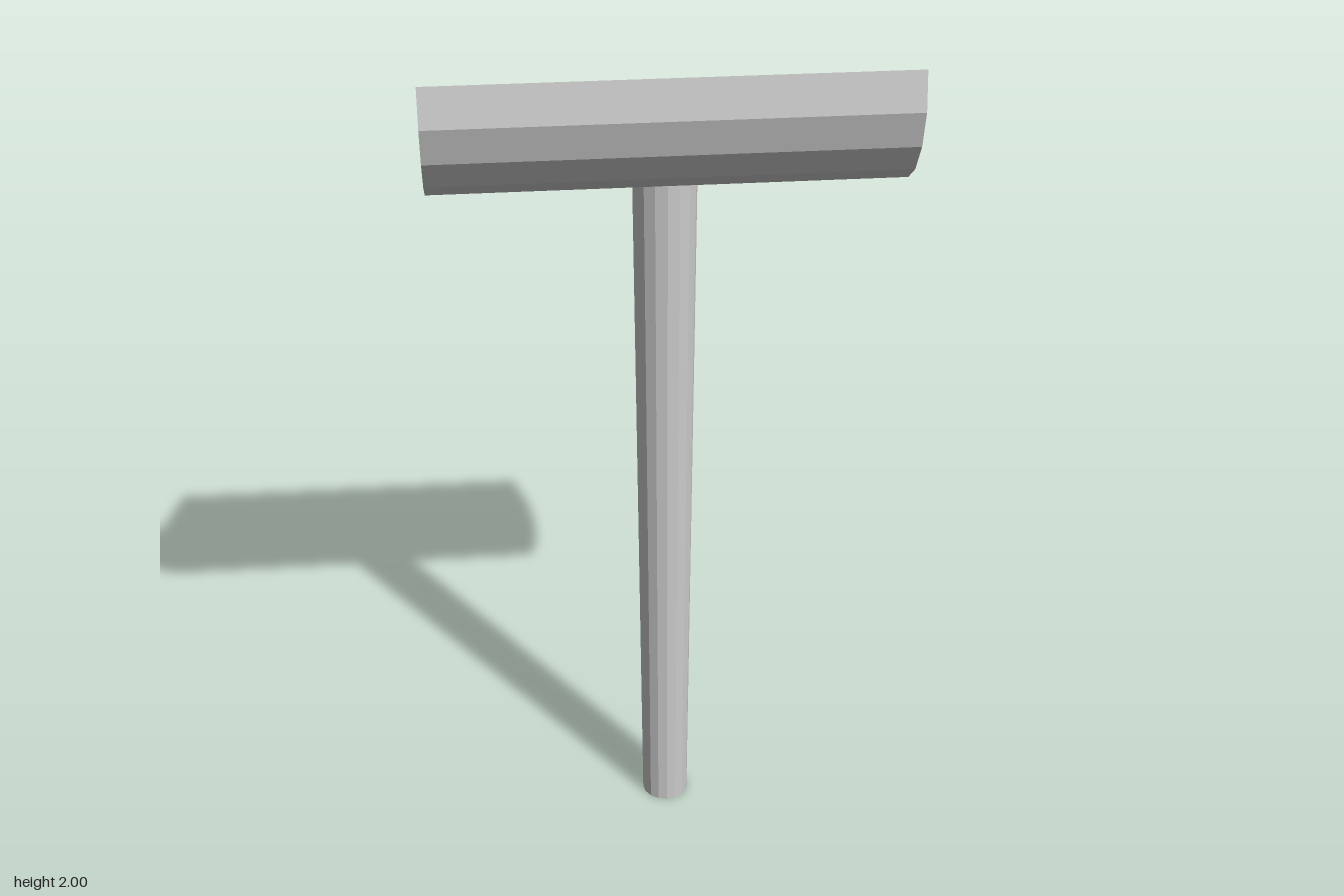
import * as THREE from 'three';

export function createModel() {
  const model = new THREE.Group();
  const material = new THREE.MeshStandardMaterial({ color: 0xcccccc, flatShading: true });

  // Head: tilted half-round bar, profile given as (z, y)
  const profile = [
    [0.206, 2.0], [0.222, 1.913], [0.198, 1.828], [0.149, 1.757], [0.086, 1.711],
    [-0.005, 1.692], [-0.1, 1.71], [-0.171, 1.757], [-0.22, 1.83],
  ].map(([z, y]) => new THREE.Vector2(z, y));
  const length = 1.032;
  const headGeometry = new THREE.ExtrudeGeometry(new THREE.Shape(profile), {
    depth: length, bevelEnabled: false,
  });
  headGeometry.rotateY(-Math.PI / 2).translate(length / 2, 0, 0);
  const head = new THREE.Mesh(headGeometry, material);
  head.name = 'head';
  model.add(head);

  // Pole: hollow tube, slightly wider at the top, ending inside the head
  const wall = [
    [0.047, 1.72], [0.035, 0], [0.056, 0], [0.071, 1.72], [0.047, 1.72],
  ].map(([r, y]) => new THREE.Vector2(r, y));
  const pole = new THREE.Mesh(new THREE.LatheGeometry(wall, 16), material);
  pole.name = 'pole';
  pole.position.set(-0.002, 0, 0.018);
  model.add(pole);

  return model;
}
